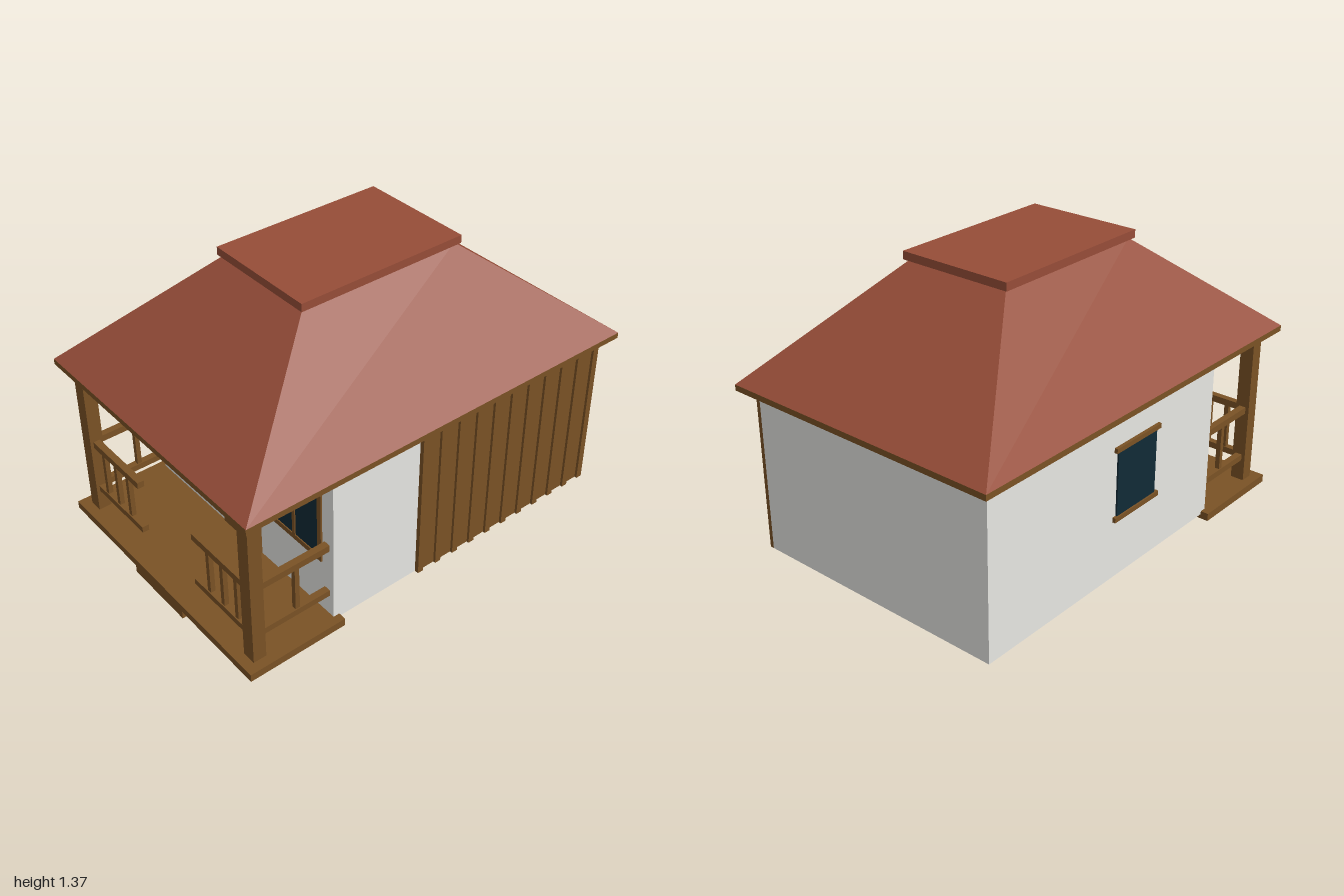
import * as THREE from 'three';

const mat = (name, color) => {
  const m = new THREE.MeshStandardMaterial({ color });
  m.name = name;
  return m;
};

export function createModel() {
  const wood = mat('brown wood', 0x7a5225);
  const plaster = mat('white plaster', 0xe6e6e2);
  const tile = mat('red roof', 0x964d38);
  const glass = mat('dark glass', 0x112a36);

  const house = new THREE.Group();
  house.name = 'cottage';

  // Box given by its low and high limits on each axis
  const box = (name, material, [x0, x1], [y0, y1], [z0, z1], parent = house) => {
    const mesh = new THREE.Mesh(new THREE.BoxGeometry(x1 - x0, y1 - y0, z1 - z0), material);
    mesh.position.set((x0 + x1) / 2, (y0 + y1) / 2, (z0 + z1) / 2);
    mesh.name = name;
    parent.add(mesh);
    return mesh;
  };
  const group = (name) => {
    const g = new THREE.Group();
    g.name = name;
    house.add(g);
    return g;
  };
  // Range on the side s (+1 or -1) of x = 0
  const side = (s, a, b) => (s > 0 ? [a, b] : [-b, -a]);

  // Walls and the floor beam under them
  box('walls', plaster, [-0.63, 0.63], [0.06, 0.83], [-0.93, 0.55]);
  box('floorUnderside', wood, [-0.61, 0.61], [0.056, 0.065], [0.04, 0.53]);

  // Board and batten cladding on the left wall
  const cladding = group('cladding');
  box('claddingBoard', wood, [0.62, 0.638], [0.06, 0.83], [-0.93, 0.1], cladding);
  const battens = 11, battenWidth = 0.03;
  for (let i = 0; i < battens; i++) {
    const z = -0.93 + (i * (1.03 - battenWidth)) / (battens - 1);
    box('batten', wood, [0.63, 0.65], [0.06, 0.83], [z, z + battenWidth], cladding);
  }

  // Roof: eave slab, hipped slopes and flat cap
  box('eaves', wood, [-0.69, 0.69], [0.83, 0.857], [-1, 1]);
  const slopes = new THREE.BoxGeometry(1.38, 0.478, 2);
  const p = slopes.attributes.position;
  for (let i = 0; i < p.count; i++) {
    if (p.getY(i) > 0) {
      p.setX(i, Math.sign(p.getX(i)) * 0.258);
      p.setZ(i, Math.sign(p.getZ(i)) * 0.395);
    }
  }
  slopes.computeVertexNormals();
  const roof = new THREE.Mesh(slopes, tile);
  roof.position.y = 0.857 + 0.239;
  roof.name = 'roofSlopes';
  house.add(roof);
  box('roofCap', tile, [-0.278, 0.278], [1.335, 1.372], [-0.415, 0.415]);

  // Porch deck and step
  box('porchDeck', wood, [-0.668, 0.668], [0.038, 0.075], [0.52, 1]);
  box('step', wood, [-0.18, 0.18], [0, 0.038], [0.925, 1]);

  // Double door with handles
  box('door', wood, [-0.138, 0.138], [0.075, 0.735], [0.55, 0.556]);
  for (const s of [-1, 1]) {
    box('doorHandle', glass, side(s, 0.011, 0.033), [0.38, 0.41], [0.55, 0.564]);
  }

  for (const s of [-1, 1]) {
    // Front window
    const win = group('frontWindow');
    const x = (a, b) => side(s, a, b);
    box('pane', glass, x(0.21, 0.55), [0.345, 0.71], [0.548, 0.553], win);
    for (const y of [0.337, 0.694]) {
      box('frameRail', wood, x(0.2, 0.56), [y, y + 0.025], [0.55, 0.558], win);
    }
    for (const [a, b] of [[0.2, 0.224], [0.37, 0.388], [0.536, 0.56]]) {
      box('frameStile', wood, x(a, b), [0.36, 0.696], [0.55, 0.558], win);
    }

    // Porch post and railing
    const railing = group('porchRailing');
    box('post', wood, x(0.557, 0.623), [0.075, 0.83], [0.89, 0.952], railing);
    for (const [y0, y1] of [[0.178, 0.208], [0.424, 0.456]]) {
      box('frontRail', wood, x(0.2, 0.56), [y0, y1], [0.905, 0.937], railing);
      box('sideRail', wood, x(0.574, 0.606), [y0, y1], [0.55, 0.89], railing);
    }
    for (const b of [0.3, 0.396, 0.492]) {
      box('baluster', wood, x(b - 0.011, b + 0.011), [0.2, 0.43], [0.91, 0.932], railing);
    }
    box('sideBaluster', wood, x(0.579, 0.601), [0.2, 0.43], [0.7, 0.722], railing);
  }

  // Window on the right wall, with a lintel and a sill
  const sideWindow = group('sideWindow');
  box('pane', glass, [-0.638, -0.628], [0.35, 0.665], [-0.145, 0.12], sideWindow);
  for (const y of [0.335, 0.658]) {
    box('sill', wood, [-0.645, -0.625], [y, y + 0.022], [-0.165, 0.14], sideWindow);
  }

  return house;
}
